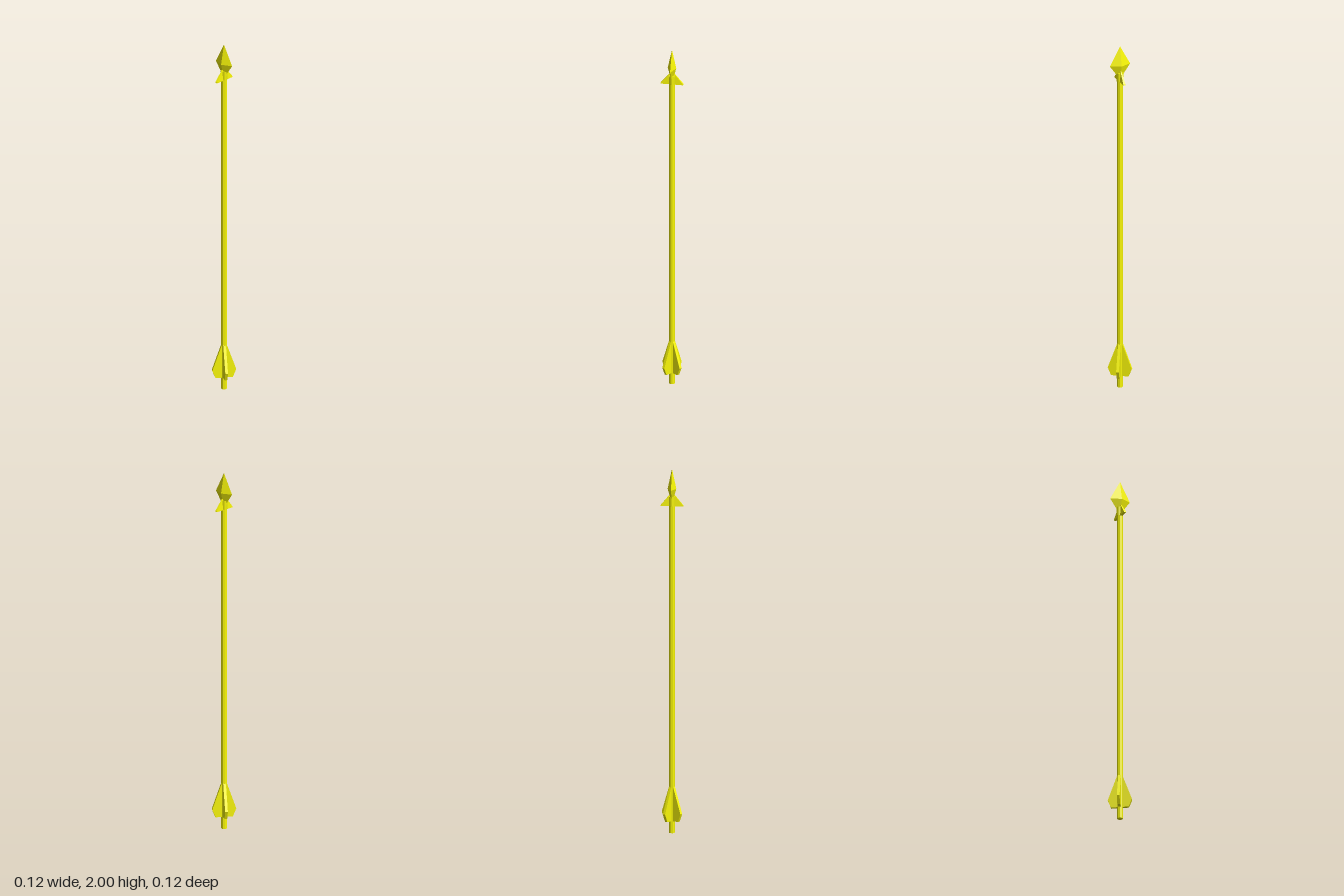
import * as THREE from 'three';

const material = new THREE.MeshStandardMaterial({ color: 0xf8f606, flatShading: true });

function addPart(parent, name, geometry) {
  const mesh = new THREE.Mesh(geometry, material);
  mesh.name = name;
  parent.add(mesh);
  return mesh;
}

// Flat plate from a radial outline, centred on its thickness
function plate(points, thickness) {
  const shape = new THREE.Shape(points.map(([x, y]) => new THREE.Vector2(x, y)));
  const geometry = new THREE.ExtrudeGeometry(shape, { depth: thickness, bevelEnabled: false });
  return geometry.translate(0, 0, -thickness / 2);
}

export function createModel() {
  const arrow = new THREE.Group();
  arrow.name = 'arrow';

  // Eight-sided shaft with flats facing the main axes
  const shaft = addPart(arrow, 'shaft', new THREE.CylinderGeometry(0.016, 0.016, 1.84, 8));
  shaft.position.y = 0.92;
  shaft.rotation.y = Math.PI / 8;

  // Collar joining shaft and head
  const collar = addPart(arrow, 'collar', new THREE.CylinderGeometry(0.021, 0.019, 0.05, 8));
  collar.position.y = 1.822;
  collar.scale.x = 0.85;

  // Four-sided head, flattened across x
  const headProfile = [[0, 1.825], [0.02, 1.835], [0.059, 1.89], [0, 2]]
    .map(([r, y]) => new THREE.Vector2(r, y));
  addPart(arrow, 'head', new THREE.LatheGeometry(headProfile, 4)).scale.x = 0.4;

  // Two barbs with flat rectangular undersides, narrowing upwards to a thin ridge
  for (const side of [0, 1]) {
    const geometry = plate([[0.005, 1.795], [0.062, 1.795], [0.06, 1.801], [0.005, 1.868]], 1);
    const p = geometry.attributes.position;
    for (let i = 0; i < p.count; i++) {
      const half = THREE.MathUtils.mapLinear(p.getY(i), 1.795, 1.868, 0.0068, 0.002);
      p.setZ(i, Math.sign(p.getZ(i)) * half);
    }
    geometry.computeVertexNormals();
    addPart(arrow, side ? 'rightBarb' : 'leftBarb', geometry).rotation.y = side * Math.PI;
  }

  // Four tail fins, turned off the main axes
  const finOutline = [[0, 0.066], [0.048, 0.066], [0.066, 0.11], [0.014, 0.255], [0, 0.255]];
  for (let i = 0; i < 4; i++) {
    const fin = addPart(arrow, 'fin' + (i + 1), plate(finOutline, 0.015));
    fin.rotation.y = THREE.MathUtils.degToRad(-35) + i * Math.PI / 2;
  }

  return arrow;
}
